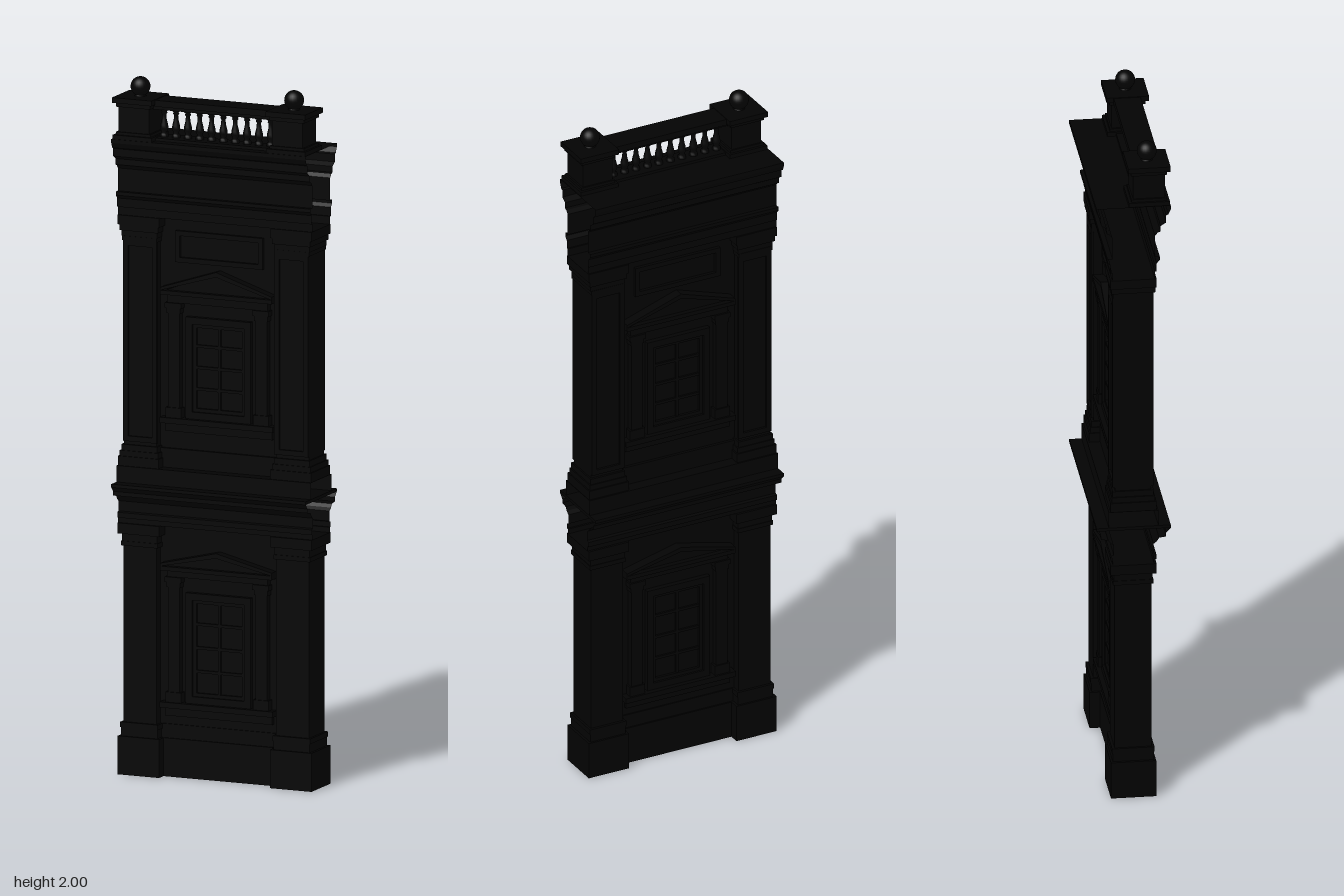
import * as THREE from 'three';

const stone = new THREE.MeshStandardMaterial({ color: 0x030303, side: THREE.DoubleSide });

function add(parent, name, geometry, x = 0, y = 0, z = 0) {
  const mesh = new THREE.Mesh(geometry, stone);
  mesh.name = name;
  mesh.position.set(x, y, z);
  parent.add(mesh);
  return mesh;
}

// Box given by its limits on each axis
function block(parent, name, [x0, x1], [y0, y1], [z0, z1]) {
  return add(parent, name, new THREE.BoxGeometry(x1 - x0, y1 - y0, z1 - z0),
    (x0 + x1) / 2, (y0 + y1) / 2, (z0 + z1) / 2);
}

function rectPath(target, w, y0, y1) {
  target.moveTo(-w, y0);
  target.lineTo(w, y0);
  target.lineTo(w, y1);
  target.lineTo(-w, y1);
  target.closePath();
  return target;
}

// Flat rectangular frame with an opening, raised from z0 to z1
function frame(parent, name, x, w, [y0, y1], border, z0, z1) {
  const shape = rectPath(new THREE.Shape(), w, y0, y1);
  shape.holes.push(rectPath(new THREE.Path(), w - border, y0 + border, y1 - border));
  return add(parent, name,
    new THREE.ExtrudeGeometry(shape, { depth: z1 - z0, bevelEnabled: false }), x, 0, z0);
}

// Moulding swept along x with open ends; profile points are [z, y]
function moulding(parent, name, profile, halfLength) {
  const pos = [];
  for (let i = 0; i < profile.length - 1; i++) {
    const [za, ya] = profile[i], [zb, yb] = profile[i + 1];
    const a = [-halfLength, ya, za], b = [halfLength, ya, za];
    const c = [halfLength, yb, zb], d = [-halfLength, yb, zb];
    pos.push(...a, ...b, ...c, ...a, ...c, ...d);
  }
  const g = new THREE.BufferGeometry();
  g.setAttribute('position', new THREE.Float32BufferAttribute(pos, 3));
  g.computeVertexNormals();
  return add(parent, name, g);
}

// Stack of centred blocks; each layer is [y0, y1, half width, half depth]
function stack(parent, name, x, layers, z = 0) {
  for (const [y0, y1, w, d] of layers)
    block(parent, name, [x - w, x + w], [y0, y1], [z - d, z + d]);
}

// Pedimented window on the wall face, measured from its base height
function windowBay(parent, y, sideTop, sashTop, pedimentBase, apex) {
  const g = new THREE.Group();
  g.name = 'window';
  parent.add(g);
  block(g, 'apron', [-0.165, 0.165], [y - 0.025, y], [0.02, 0.036]);
  block(g, 'sill', [-0.175, 0.175], [y, y + 0.016], [0.02, 0.054]);
  for (const s of [-1, 1]) {
    stack(g, 'sidePilaster', s * 0.135, [
      [y + 0.016, y + 0.045, 0.024, 0.014],
      [y + 0.045, sideTop - 0.03, 0.018, 0.01],
      [sideTop - 0.03, sideTop - 0.015, 0.021, 0.013],
      [sideTop - 0.015, sideTop, 0.025, 0.016],
    ], 0.034);
  }
  // Stepped surround, sash and glazing bars
  frame(g, 'architrave', 0, 0.1, [y + 0.016, sashTop + 0.022], 0.02, 0.024, 0.04);
  frame(g, 'sash', 0, 0.08, [y + 0.036, sashTop + 0.002], 0.01, 0.024, 0.033);
  block(g, 'mullion', [-0.004, 0.004], [y + 0.04, sashTop], [0.024, 0.031]);
  for (let i = 1; i < 4; i++) {
    const yb = y + 0.04 + (sashTop - y - 0.04) * i / 4;
    block(g, 'glazingBar', [-0.075, 0.075], [yb - 0.004, yb + 0.004], [0.024, 0.031]);
  }
  // Entablature and pediment
  block(g, 'frieze', [-0.155, 0.155], [sideTop, pedimentBase - 0.012], [0.02, 0.044]);
  block(g, 'pedimentCornice', [-0.172, 0.172], [pedimentBase - 0.012, pedimentBase], [0.02, 0.055]);
  const tympanum = new THREE.Shape([[-0.16, 0], [0.16, 0], [0, apex - pedimentBase - 0.008]]
    .map(([a, b]) => new THREE.Vector2(a, b)));
  add(g, 'tympanum', new THREE.ExtrudeGeometry(tympanum, { depth: 0.02, bevelEnabled: false }),
    0, pedimentBase, 0.02);
  const h = apex - pedimentBase, t = 0.014;
  const rake = new THREE.Shape([[-0.172, 0], [0, h - t], [0.172, 0], [0.172, t * 0.6], [0, h], [-0.172, t * 0.6]]
    .map(([a, b]) => new THREE.Vector2(a, b)));
  add(g, 'rakingCornice', new THREE.ExtrudeGeometry(rake, { depth: 0.035, bevelEnabled: false }),
    0, pedimentBase, 0.02);
}

// One face of the bay; used for front and back
function createFace() {
  const face = new THREE.Group();
  face.name = 'facade';
  block(face, 'wallPlinth', [-0.18, 0.18], [0, 0.11], [0, 0.034]);
  block(face, 'wallPlinthCap', [-0.18, 0.18], [0.11, 0.15], [0, 0.029]);
  block(face, 'upperWallBase', [-0.18, 0.18], [0.885, 0.94], [0, 0.034]);
  windowBay(face, 0.2, 0.575, 0.51, 0.605, 0.655);
  windowBay(face, 1.015, 1.36, 1.3, 1.395, 1.46);
  frame(face, 'upperPanel', 0, 0.135, [1.475, 1.565], 0.014, 0.024, 0.035);
  for (const s of [-1, 1])
    frame(face, 'pilasterPanel', s * 0.233, 0.052, [0.955, 1.53], 0.015, 0.05, 0.058);

  // Lower and upper entablatures
  moulding(face, 'lowerEntablature', [
    [0, 0.72], [0.058, 0.72], [0.058, 0.735], [0.064, 0.735], [0.064, 0.75], [0.056, 0.753],
    [0.056, 0.782], [0.066, 0.79], [0.072, 0.8], [0.092, 0.803], [0.092, 0.815], [0.105, 0.829],
  ], 0.3);
  moulding(face, 'upperStoreyCourse', [[0.07, 0.838], [0.07, 0.885], [0, 0.885]], 0.3);
  moulding(face, 'upperEntablature', [
    [0, 1.602], [0.06, 1.602], [0.06, 1.625], [0.065, 1.625], [0.065, 1.65], [0.074, 1.66],
    [0.074, 1.67], [0.06, 1.67], [0.06, 1.735], [0.068, 1.745], [0.076, 1.748], [0.076, 1.765],
    [0.092, 1.775], [0.092, 1.797], [0.098, 1.8], [0.105, 1.815], [0.105, 1.826], [0, 1.826],
  ], 0.3);
  return face;
}

function createBalustrade() {
  const g = new THREE.Group();
  g.name = 'balustrade';
  const zc = 0.045;
  for (const s of [-1, 1]) {
    const x = s * 0.237;
    stack(g, 'pedestal', x, [
      [1.826, 1.838, 0.06, 0.058], [1.838, 1.846, 0.053, 0.05], [1.846, 1.918, 0.047, 0.045],
      [1.918, 1.93, 0.053, 0.051], [1.93, 1.945, 0.061, 0.06],
    ], zc);
    add(g, 'finialNeck', new THREE.CylinderGeometry(0.012, 0.018, 0.012, 20), x, 1.949, zc);
    add(g, 'finialBall', new THREE.SphereGeometry(0.028, 24, 16), x, 1.972, zc);
  }
  block(g, 'bottomRail', [-0.19, 0.19], [1.826, 1.834], [0.012, 0.076]);
  block(g, 'railBed', [-0.19, 0.19], [1.915, 1.925], [0.016, 0.072]);
  block(g, 'topRail', [-0.178, 0.178], [1.925, 1.943], [0.005, 0.081]);
  // Turned balusters
  const profile = [[0.012, 0], [0.012, 0.008], [0.007, 0.012], [0.012, 0.024], [0.011, 0.034],
    [0.007, 0.05], [0.006, 0.064], [0.009, 0.068], [0.007, 0.072], [0.012, 0.076], [0.012, 0.082]]
    .map(([r, y]) => new THREE.Vector2(r, y));
  const baluster = new THREE.LatheGeometry(profile, 14);
  for (let i = 0; i < 10; i++) add(g, 'baluster', baluster, (i - 4.5) * 0.0365, 1.834, 0.0435);
  return g;
}

export function createModel() {
  const model = new THREE.Group();
  model.name = 'facadeBay';
  block(model, 'lowerWall', [-0.2, 0.2], [0, 0.72], [-0.025, 0.025]);
  block(model, 'upperWall', [-0.2, 0.2], [0.885, 1.597], [-0.025, 0.025]);

  // Corner pilasters of both storeys
  for (const s of [-1, 1]) {
    const x = s * 0.235;
    stack(model, 'lowerPilaster', x, [
      [0, 0.11, 0.064, 0.064], [0.11, 0.135, 0.056, 0.058], [0.135, 0.15, 0.058, 0.06],
      [0.15, 0.655, 0.051, 0.052], [0.655, 0.668, 0.056, 0.057], [0.668, 0.69, 0.054, 0.055],
      [0.69, 0.72, 0.064, 0.065],
    ]);
    stack(model, 'upperPilaster', x, [
      [0.885, 0.912, 0.063, 0.065], [0.912, 0.928, 0.059, 0.061], [0.928, 0.945, 0.055, 0.058],
      [0.945, 1.54, 0.05, 0.051], [1.53, 1.542, 0.053, 0.058], [1.542, 1.558, 0.055, 0.057],
      [1.558, 1.575, 0.059, 0.062], [1.575, 1.602, 0.064, 0.065],
    ]);
  }

  const front = createFace();
  const back = createFace();
  back.rotation.y = Math.PI;
  model.add(front, back);

  block(model, 'stringCourse', [-0.3, 0.3], [0.829, 0.838], [-0.105, 0.105]);
  model.add(createBalustrade());
  return model;
}
